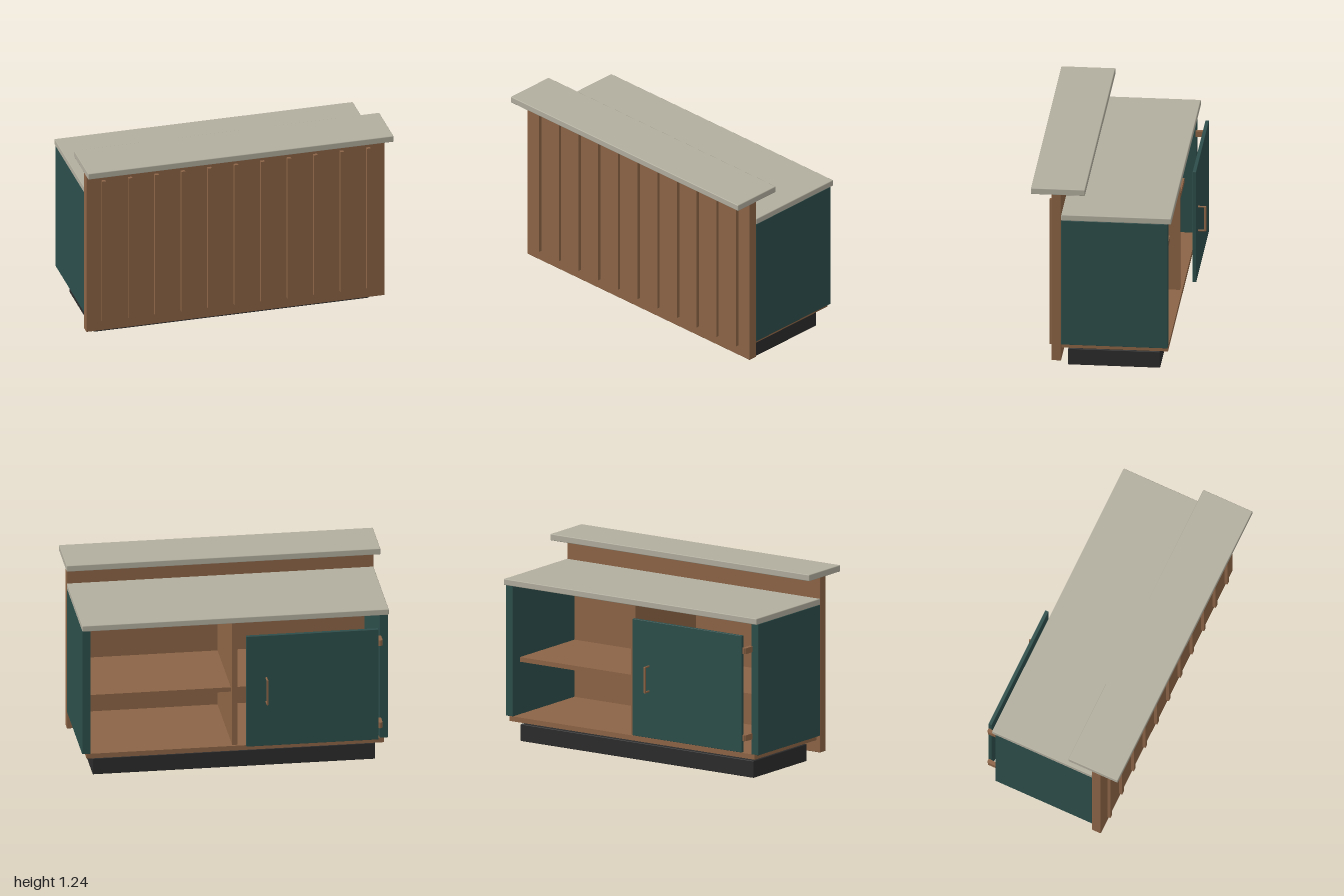
import * as THREE from 'three';
import { RoundedBoxGeometry } from 'three/addons/geometries/RoundedBoxGeometry.js';

const material = (name, color) => {
  const m = new THREE.MeshStandardMaterial({ color });
  m.name = name;
  return m;
};

export function createModel() {
  const wood = material('warm wood', 0x8c6446);
  const teal = material('teal paint', 0x2d4e4b);
  const stone = material('pale stone', 0xb2ae9e);
  const black = material('black plinth', 0x2b2b2b);

  const model = new THREE.Group();
  model.name = 'barCounter';

  // Box given by its ranges on each axis, with an optional softened edge
  const slab = (name, mat, [x0, x1], [y0, y1], [z0, z1], bevel = 0, parent = model) => {
    const size = [x1 - x0, y1 - y0, z1 - z0];
    const geometry = bevel
      ? new RoundedBoxGeometry(...size, 1, bevel)
      : new THREE.BoxGeometry(...size);
    const mesh = new THREE.Mesh(geometry, mat);
    mesh.name = name;
    mesh.position.set((x0 + x1) / 2, (y0 + y1) / 2, (z0 + z1) / 2);
    parent.add(mesh);
    return mesh;
  };

  const rod = (name, radius, length, x, y, z, parent) => {
    const mesh = new THREE.Mesh(new THREE.CylinderGeometry(radius, radius, length, 12), wood);
    mesh.name = name;
    mesh.position.set(x, y, z);
    parent.add(mesh);
    return mesh;
  };

  // Plinth and tops
  slab('plinth', black, [-0.9, 0.9], [0, 0.11], [-0.31, 0.273], 0.004);
  slab('worktop', stone, [-0.977, 0.977], [1.015, 1.055], [-0.387, 0.31], 0.005);
  slab('barTop', stone, [-1, 1], [1.198, 1.24], [0.157, 0.5], 0.005);

  // Front panel with evenly spaced slats
  slab('frontPanel', wood, [-0.977, 0.977], [0.057, 1.198], [0.31, 0.372], 0.004);
  for (let i = -5; i <= 5; i++) {
    const x = i * 0.1733;
    slab('frontSlat', wood, [x - 0.0125, x + 0.0125], [0.127, 1.117], [0.37, 0.393]);
  }

  // Carcass
  slab('bottomBoard', wood, [-0.947, 0.947], [0.135, 0.167], [-0.365, 0.31]);
  slab('divider', wood, [-0.017, 0.017], [0.167, 1.015], [-0.35, 0.31]);
  for (const s of [-1, 1]) {
    slab('sidePanel', teal, s < 0 ? [-0.975, -0.92] : [0.92, 0.975], [0.166, 1.015], [-0.365, 0.31], 0.003);
    slab('shelf', wood, s < 0 ? [-0.92, -0.017] : [0.017, 0.92], [0.507, 0.537], [-0.288, 0.31]);
  }

  // Door, standing off the carcass on two hinges
  const door = new THREE.Group();
  door.name = 'door';
  model.add(door);
  slab('doorPanel', teal, [-0.903, -0.06], [0.19, 0.946], [-0.446, -0.423], 0.003, door);
  for (const y of [0.285, 0.849]) {
    slab('hingeArm', wood, [-0.93, -0.905], [y - 0.019, y + 0.019], [-0.435, -0.36], 0, door);
    rod('hingeBarrel', 0.012, 0.038, -0.914, y, -0.433, door);
  }

  // Pull handle
  const handle = new THREE.Group();
  handle.name = 'handle';
  door.add(handle);
  slab('handleGrip', wood, [-0.195, -0.181], [0.49, 0.658], [-0.499, -0.484], 0.003, handle);
  for (const y of [0.493, 0.655]) {
    const post = rod('handlePost', 0.006, 0.05, -0.188, y, -0.468, handle);
    post.rotation.x = Math.PI / 2;
  }

  return model;
}
